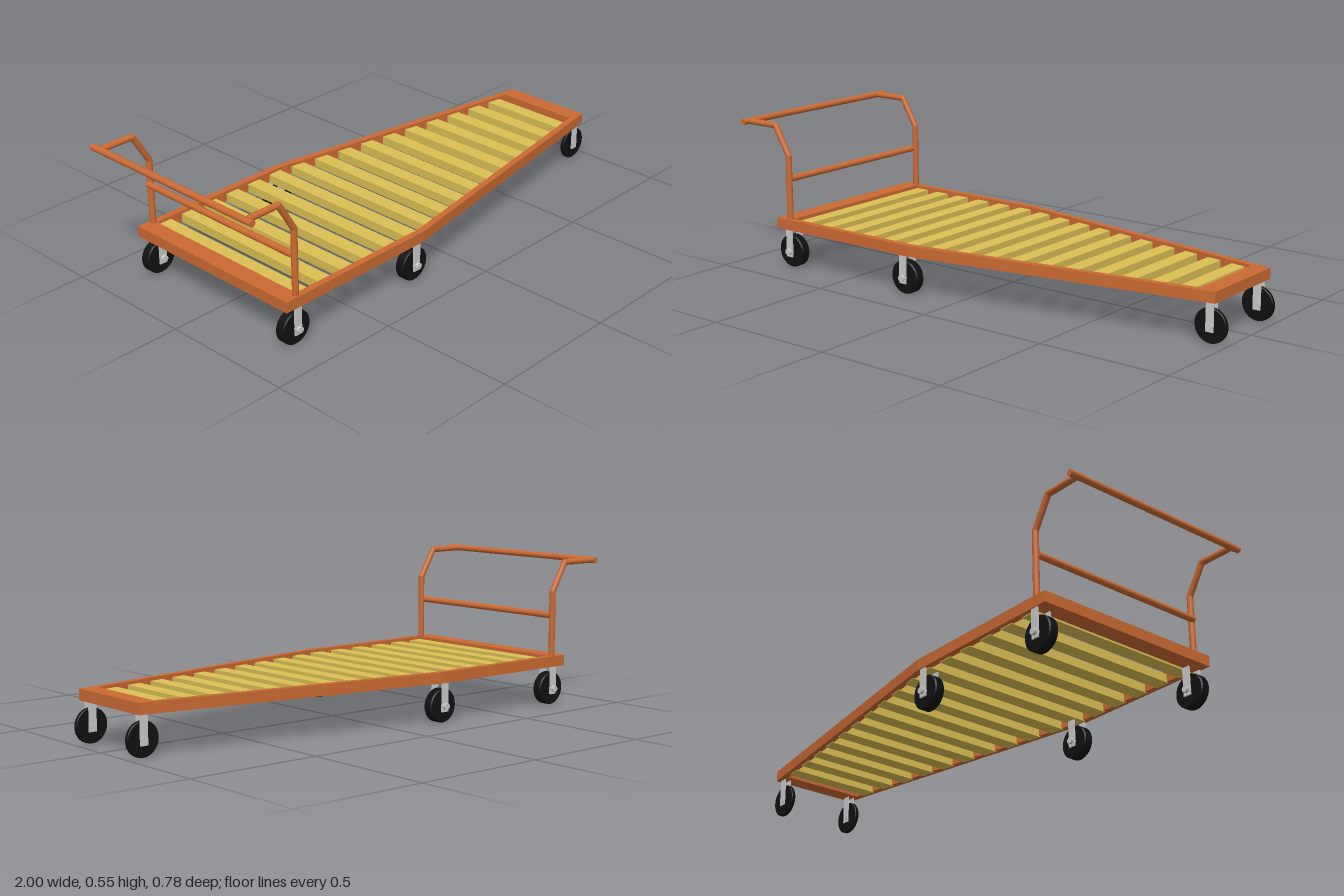
import * as THREE from 'three';

const orange = new THREE.MeshStandardMaterial({ color: 0xcc6a33 });
const yellow = new THREE.MeshStandardMaterial({ color: 0xdcc054 });
const black = new THREE.MeshStandardMaterial({ color: 0x111111 });
const grey = new THREE.MeshStandardMaterial({ color: 0xcccccc });

// Deck plan: parallel sides up to the kink, then a taper to the nose
const REAR = -0.84, KINK = -0.19, NOSE = 0.965, RAIL = 0.025;
const halfWidth = (x) => (x < KINK ? 0.373 : THREE.MathUtils.mapLinear(x, KINK, NOSE, 0.373, 0.178));

function mesh(name, geometry, material, parent) {
  const m = new THREE.Mesh(geometry, material);
  m.name = name;
  parent.add(m);
  return m;
}

// Symmetric outline through the given x stations, inset from the deck edge
function outline(xs, inset) {
  const side = xs.map((x) => new THREE.Vector2(x, halfWidth(x) - inset));
  const mirror = side.map((p) => new THREE.Vector2(p.x, -p.y)).reverse();
  return [...mirror.reverse(), ...side.reverse()];
}

// Horizontal slab from a plan shape
function slab(shape, y0, y1) {
  const g = new THREE.ExtrudeGeometry(shape, { depth: y1 - y0, bevelEnabled: false });
  return g.rotateX(-Math.PI / 2).translate(0, y0, 0);
}

// Round bar between two points
function bar(name, a, b, radius, parent) {
  const from = new THREE.Vector3(...a), to = new THREE.Vector3(...b);
  const dir = to.clone().sub(from);
  const m = mesh(name, new THREE.CylinderGeometry(radius, radius, dir.length(), 20), orange, parent);
  m.position.copy(from).add(to).multiplyScalar(0.5);
  m.quaternion.setFromUnitVectors(new THREE.Vector3(0, 1, 0), dir.normalize());
}

// Wheel with side plates and axle stubs
function caster(name, x, z, width, parent) {
  const g = new THREE.Group();
  g.name = name;
  g.position.set(x, 0.0615, z);
  const h = width / 2, r = 0.0615, e = Math.min(0.004, h / 3);
  const profile = [[0, -h], [r - e, -h], [r, -h + e], [r, h - e], [r - e, h], [0, h]]
    .map((p) => new THREE.Vector2(...p));
  const tyre = new THREE.LatheGeometry(profile, 32).toNonIndexed();
  tyre.computeVertexNormals();
  mesh('wheel', tyre.rotateX(Math.PI / 2), black, g);
  const plateZ = h + 0.0075 * (width > 0.02 ? 1 : 0.5);
  const stub = width * 0.6;
  for (const s of [-1, 1]) {
    const plate = mesh('forkPlate', new THREE.BoxGeometry(0.03, 0.108, 0.006 * (width > 0.02 ? 1 : 0.7)), grey, g);
    plate.position.set(0, 0.033, s * plateZ);
    const axle = mesh('axleStub', new THREE.CylinderGeometry(0.012, 0.012, stub, 16).rotateX(Math.PI / 2), grey, g);
    axle.position.set(0, 0, s * (h + stub / 2 - 0.001));
  }
  parent.add(g);
}

export function createModel() {
  const model = new THREE.Group();
  model.name = 'platformCart';

  // Deck frame
  const plan = new THREE.Shape(outline([REAR, KINK, NOSE], 0));
  plan.holes.push(new THREE.Path(outline([-0.775, KINK, 0.9], RAIL)));
  mesh('deckFrame', slab(plan, 0.146, 0.186), orange, model);

  // Slats, their ends cut to follow the side rails
  const slats = new THREE.Group();
  slats.name = 'slats';
  model.add(slats);
  for (let i = 0; i < 16; i++) {
    const x = -0.741 + i * 0.1055;
    const shape = new THREE.Shape(outline([x - 0.0275, x + 0.0275], RAIL - 0.008));
    mesh('slat', slab(shape, 0.143, 0.175), yellow, slats);
  }

  // Push handle
  const handle = new THREE.Group();
  handle.name = 'handle';
  model.add(handle);
  for (const s of [-1, 1]) {
    const z = s * 0.357;
    const path = [[-0.785, 0.15, z], [-0.785, 0.43, z], [-0.849, 0.537, z], [-0.988, 0.537, z]];
    for (let i = 0; i < 3; i++) bar('handlePost', path[i], path[i + 1], 0.0115, handle);
    for (const p of path.slice(1, 3)) {
      mesh('handleElbow', new THREE.SphereGeometry(0.0115, 16, 12), orange, handle).position.set(...p);
    }
  }
  bar('gripBar', [-0.988, 0.538, -0.391], [-0.988, 0.538, 0.391], 0.012, handle);
  bar('crossBar', [-0.794, 0.338, -0.357], [-0.794, 0.338, 0.357], 0.012, handle);

  // Casters: wide at rear and middle, narrow at the nose
  for (const s of [-1, 1]) {
    caster('rearCaster', -0.785, s * 0.34, 0.037, model);
    caster('middleCaster', -0.215, s * 0.34, 0.037, model);
    caster('noseCaster', 0.938, s * 0.152, 0.016, model);
  }
  return model;
}
